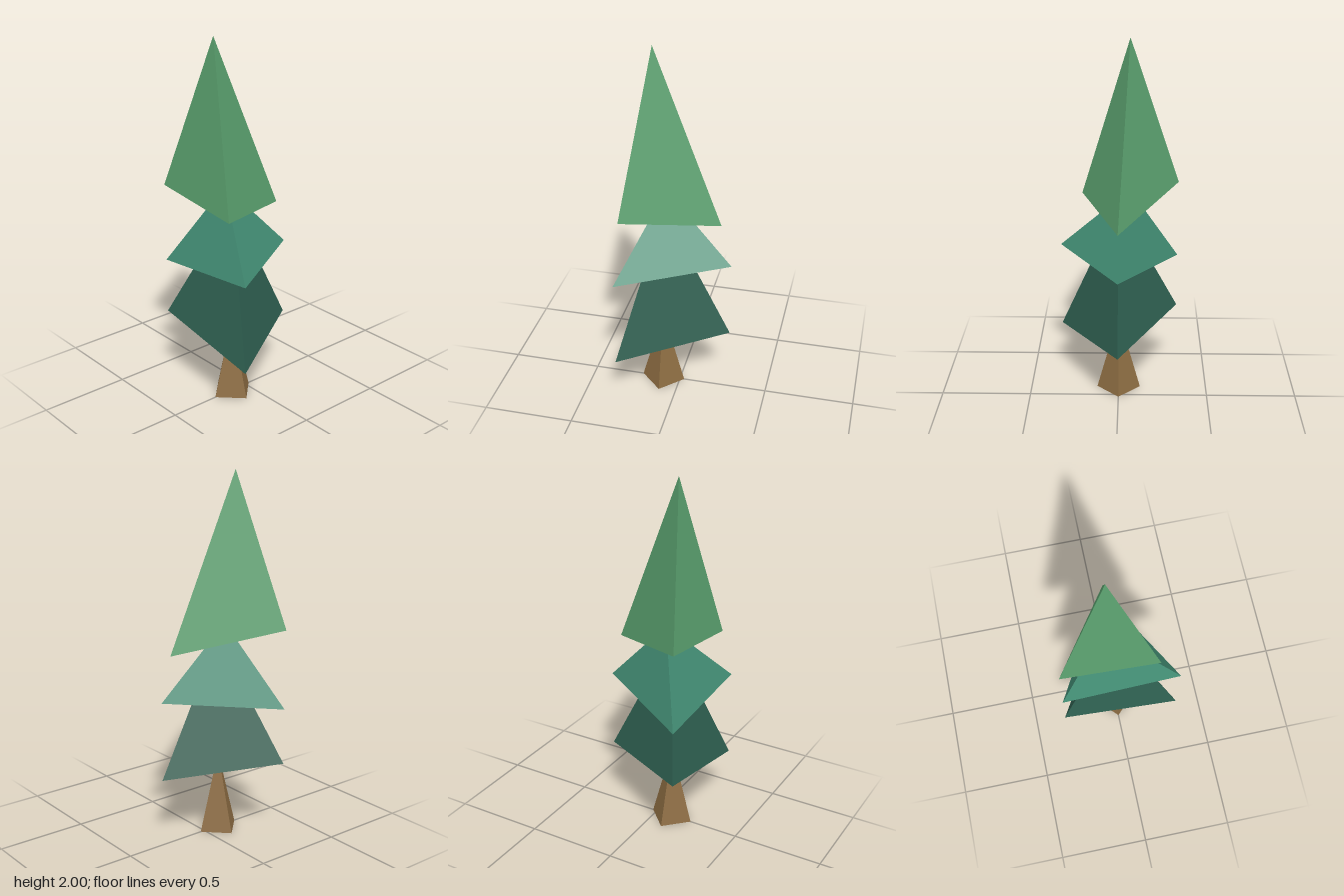
import * as THREE from 'three';

const material = (color) => new THREE.MeshStandardMaterial({ color, flatShading: true });

// Tilted three-sided pyramid: front left corner, front right corner, back corner, tip
function foliageTier(name, color, frontLeft, frontRight, back, tip) {
  const faces = [
    frontLeft, frontRight, tip,
    frontRight, back, tip,
    back, frontLeft, tip,
    frontLeft, back, frontRight, // underside
  ];
  const geometry = new THREE.BufferGeometry();
  geometry.setAttribute('position', new THREE.Float32BufferAttribute(faces.flat(), 3));
  geometry.computeVertexNormals();
  const mesh = new THREE.Mesh(geometry, material(color));
  mesh.name = name;
  return mesh;
}

export function createModel() {
  const tree = new THREE.Group();
  tree.name = 'lowPolyTree';

  // Four-sided tapering trunk, its tip hidden in the lowest tier
  const trunkHeight = 0.45;
  const trunk = new THREE.Mesh(new THREE.ConeGeometry(0.122, trunkHeight, 4), material(0x8c6c42));
  trunk.name = 'trunk';
  trunk.position.set(0, trunkHeight / 2, 0.097);
  tree.add(trunk);

  // Three stacked foliage tiers, each leaning its own way
  tree.add(
    foliageTier('lowerFoliage', 0x2e5f50,
      [-0.33, 0.435, 0.285], [0.33, 0.315, 0.285], [0, 0.375, -0.285], [0, 1.11, 0.09]),
    foliageTier('middleFoliage', 0x428c73,
      [-0.33, 0.745, 0.285], [0.33, 0.805, 0.285], [0, 0.81, -0.285], [-0.06, 1.2, 0.09]),
    foliageTier('upperFoliage', 0x5aa06e,
      [-0.33, 1.18, 0.285], [0.205, 1.115, 0.285], [0, 1.055, -0.225], [-0.06, 2, 0.157]),
  );
  return tree;
}
